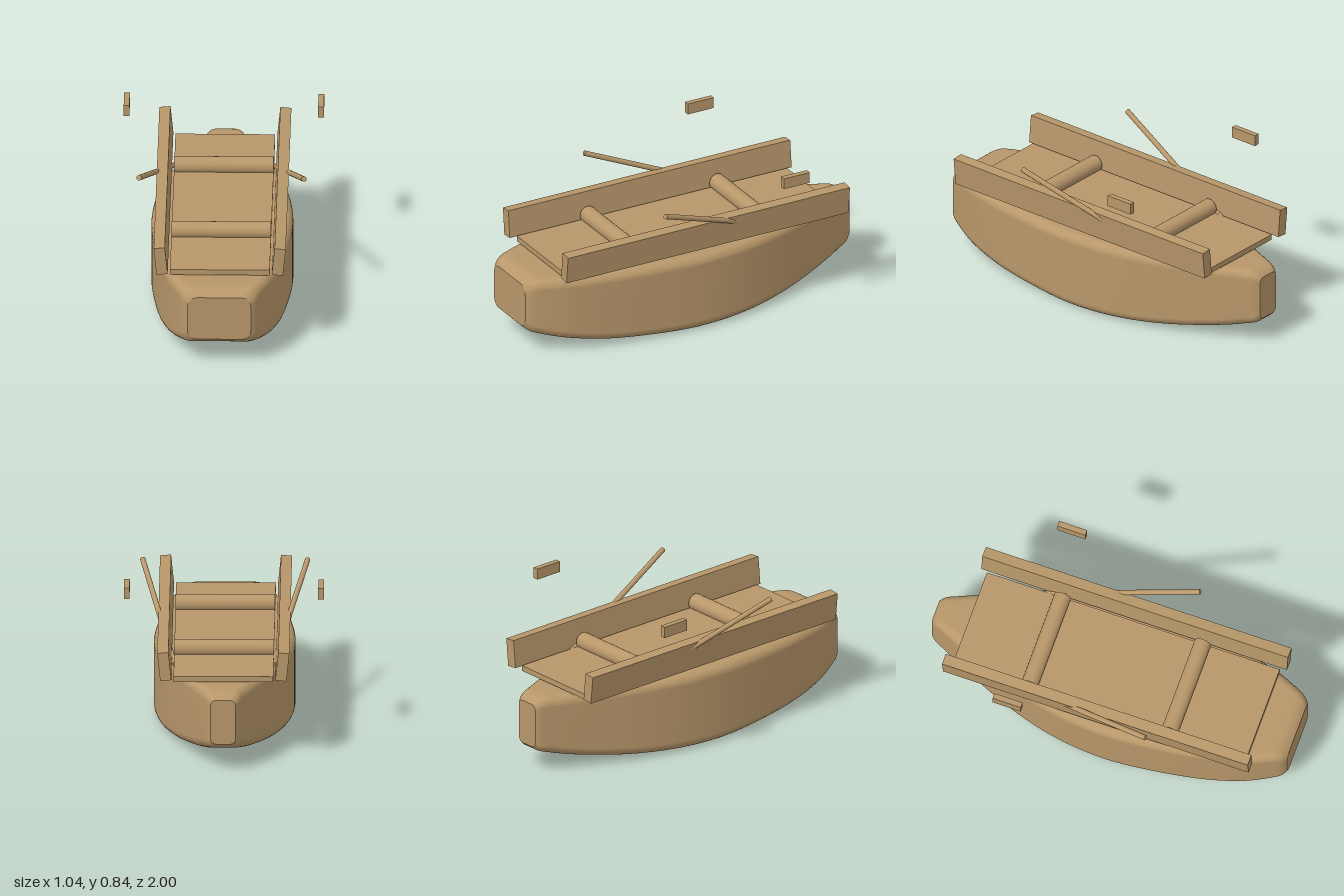
import * as THREE from 'three';

const wood = new THREE.MeshStandardMaterial({ color: 0xb8976a });

function add(parent, name, geometry, position = [0, 0, 0]) {
  const mesh = new THREE.Mesh(geometry, wood);
  mesh.name = name;
  mesh.position.set(...position);
  parent.add(mesh);
  return mesh;
}

// Rounded-rectangle outline, counter-clockwise seen from +z
function section(hw, yb, yt) {
  const r = Math.min(0.05, hw * 0.45, (yt - yb) * 0.3);
  const corners = [[hw - r, yb + r, -90], [hw - r, yt - r, 0], [r - hw, yt - r, 90], [r - hw, yb + r, 180]];
  const ring = [];
  for (const [x, y, start] of corners) {
    for (let k = 0; k <= 6; k++) {
      const a = THREE.MathUtils.degToRad(start + k * 15);
      ring.push([x + r * Math.cos(a), y + r * Math.sin(a)]);
    }
  }
  return ring;
}

// Hull lofted through sections along z, closed with a flat cap at each end
function hullGeometry() {
  // half width, keel height, z
  const stations = [
    [0.065, 0.145, -1], [0.085, 0.122, -0.975], [0.105, 0.105, -0.93], [0.16, 0.072, -0.8],
    [0.275, 0.026, -0.5], [0.346, 0.005, -0.22], [0.37, 0, 0.06], [0.35, 0.013, 0.35],
    [0.315, 0.036, 0.6], [0.268, 0.072, 0.8], [0.215, 0.105, 0.93], [0.192, 0.122, 0.975], [0.165, 0.145, 1],
  ];
  const curve = new THREE.CatmullRomCurve3(stations.map((s) => new THREE.Vector3(...s)));
  const rings = curve.getPoints(72).map((p) => {
    const end = Math.max(0, (Math.abs(p.z) - 0.9) / 0.1);
    return section(p.x, p.y, 0.42 - 0.035 * end ** 3).map(([x, y]) => [x, y, p.z]);
  });
  const n = rings[0].length;
  const position = rings.flat(2);
  const index = [];
  for (let i = 0; i < rings.length - 1; i++) {
    for (let j = 0; j < n; j++) {
      const a = i * n + j, b = i * n + (j + 1) % n;
      index.push(a, b, b + n, a, b + n, a + n);
    }
  }
  for (const [ring, front] of [[rings[0], false], [rings.at(-1), true]]) {
    const base = position.length / 3;
    position.push(...ring.flat(), 0, 0.265, ring[0][2]);
    for (let j = 0; j < n; j++) {
      const a = base + j, b = base + (j + 1) % n;
      index.push(base + n, front ? a : b, front ? b : a);
    }
  }
  const geometry = new THREE.BufferGeometry();
  geometry.setAttribute('position', new THREE.Float32BufferAttribute(position, 3));
  geometry.setIndex(index);
  geometry.computeVertexNormals();
  return geometry;
}

export function createModel() {
  const boat = new THREE.Group();
  boat.name = 'rowingBoat';

  add(boat, 'hull', hullGeometry());
  add(boat, 'deck', new THREE.BoxGeometry(0.52, 0.03, 1.62), [0, 0.44, 0]);

  // Round thwarts across the deck
  for (const [name, z] of [['frontThwart', 0.385], ['rearThwart', -0.39]]) {
    add(boat, name, new THREE.CylinderGeometry(0.045, 0.045, 0.52, 24), [0, 0.48, z]).rotation.z = Math.PI / 2;
  }

  for (const [side, s] of [['left', 1], ['right', -1]]) {
    // Side rail leaning outwards
    add(boat, side + 'Rail', new THREE.BoxGeometry(0.058, 0.152, 1.69), [s * 0.308, 0.519, 0]).rotation.z = -s * 0.1;

    // Oar shaft passing through the rail
    const top = new THREE.Vector3(s * 0.43, 0.742, 0.31);
    const foot = new THREE.Vector3(s * 0.257, 0.425, -0.5);
    const dir = top.clone().sub(foot);
    const shaft = add(boat, side + 'OarShaft', new THREE.CylinderGeometry(0.014, 0.014, dir.length(), 16),
      top.clone().add(foot).multiplyScalar(0.5).toArray());
    shaft.quaternion.setFromUnitVectors(new THREE.Vector3(0, 1, 0), dir.normalize());

    // Detached oar blade
    add(boat, side + 'OarBlade', new THREE.BoxGeometry(0.03, 0.06, 0.155), [s * 0.507, 0.81, -0.425]);
  }
  return boat;
}
